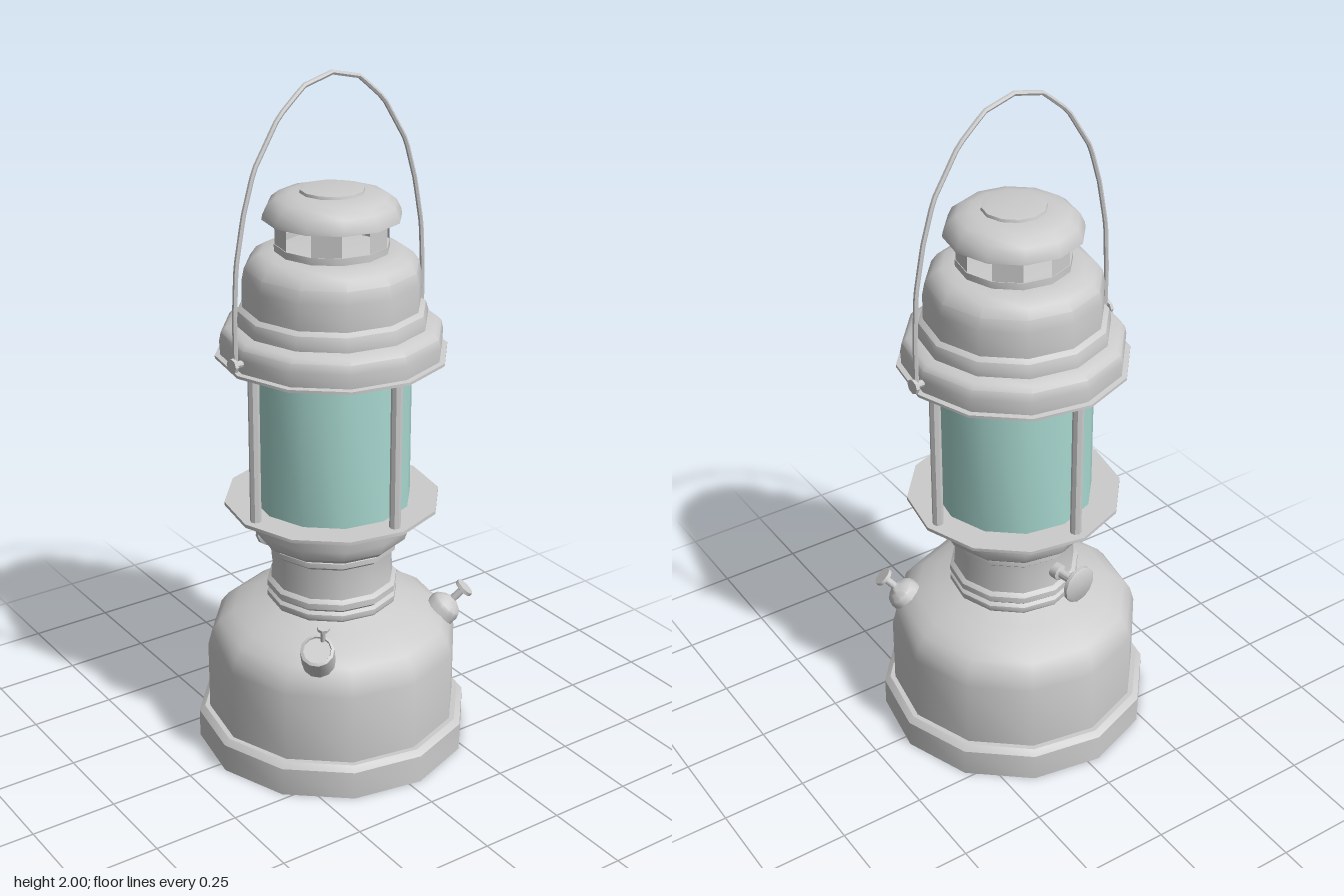
import * as THREE from 'three';
import { toCreasedNormals } from 'three/addons/utils/BufferGeometryUtils.js';

const metal = new THREE.MeshStandardMaterial({ color: 0xcccccc, side: THREE.DoubleSide });
const glass = new THREE.MeshStandardMaterial({ color: 0xa8d8d0, side: THREE.DoubleSide });
const SIDES = 12;

function add(parent, name, geometry, material = metal) {
  const mesh = new THREE.Mesh(toCreasedNormals(geometry, 0.62), material);
  mesh.name = name;
  parent.add(mesh);
  return mesh;
}

// Turned part from [radius, height] pairs, listed bottom to top
function turned(parent, name, profile, sides = SIDES, material = metal) {
  const points = profile.map(([r, y]) => new THREE.Vector2(r, y));
  return add(parent, name, new THREE.LatheGeometry(points, sides), material);
}

// Group at a point whose local y axis follows a direction
function aimed(parent, name, position, direction) {
  const group = new THREE.Group();
  group.name = name;
  group.position.set(...position);
  group.quaternion.setFromUnitVectors(
    new THREE.Vector3(0, 1, 0), new THREE.Vector3(...direction).normalize());
  parent.add(group);
  return group;
}

export function createModel() {
  const model = new THREE.Group();
  model.name = 'lantern';

  // Everything on the main axis shares a slight turn
  const body = new THREE.Group();
  body.name = 'lanternBody';
  body.rotation.y = 0.085;
  model.add(body);

  turned(body, 'fuelTank', [
    [0, 0], [0.402, 0], [0.402, 0.085], [0.385, 0.1], [0.37, 0.1], [0.37, 0.31],
    [0.358, 0.355], [0.335, 0.385], [0.295, 0.412], [0.24, 0.435], [0.185, 0.455],
  ]);

  turned(body, 'neck', [
    [0.185, 0.45], [0.192, 0.46], [0.192, 0.475], [0.182, 0.483], [0.192, 0.492],
    [0.192, 0.51], [0.18, 0.52], [0.176, 0.57], [0.18, 0.615], [0.192, 0.625],
    [0.192, 0.64], [0.184, 0.645],
  ]);

  turned(body, 'burnerCup', [
    [0.184, 0.645], [0.205, 0.65], [0.222, 0.665], [0.232, 0.695], [0.235, 0.765],
  ]);

  turned(body, 'lowerPlate', [
    [0, 0.76], [0.312, 0.76], [0.312, 0.77], [0, 0.77],
  ]);

  turned(body, 'glassChimney', [[0.228, 0.77], [0.228, 1.212]], SIDES, glass);

  // Four guard rods around the glass
  for (let i = 0; i < 4; i++) {
    const a = (i * Math.PI) / 2;
    const rod = add(body, 'guardRod', new THREE.CylinderGeometry(0.016, 0.016, 0.45, 8));
    rod.position.set(Math.sin(a) * 0.275, 0.99, Math.cos(a) * 0.275);
  }

  turned(body, 'hood', [
    [0, 1.21], [0.328, 1.21], [0.328, 1.218], [0.313, 1.22], [0.315, 1.26],
    [0.31, 1.285], [0.297, 1.298], [0.27, 1.305], [0.27, 1.325], [0.264, 1.345],
    [0.25, 1.355], [0.25, 1.43], [0.243, 1.465], [0.225, 1.49], [0.198, 1.506],
    [0.16, 1.51], [0, 1.512],
  ]);

  // Vent: solid ring below, alternating panels and openings above
  turned(body, 'ventRing', [[0.16, 1.508], [0.16, 1.53], [0.15, 1.53], [0.15, 1.508]]);
  for (let i = 0; i < 6; i++) {
    const panel = new THREE.CylinderGeometry(
      0.158, 0.158, 0.085, 1, 1, true, (i * Math.PI) / 3, Math.PI / 6);
    add(body, 'ventPanel', panel).position.y = 1.565;
  }

  turned(body, 'topCap', [
    [0, 1.6], [0.193, 1.6], [0.19, 1.615], [0.178, 1.64], [0.155, 1.658],
    [0.12, 1.668], [0.09, 1.67], [0.088, 1.678], [0.075, 1.68], [0, 1.68],
  ]);

  // Wire handle and its pivots
  const half = [[0.333, 1.25], [0.333, 1.38], [0.325, 1.52], [0.298, 1.655],
    [0.262, 1.77], [0.18, 1.897], [0.095, 1.968]];
  const arch = [...half, [0, 1.991], ...half.map(([x, y]) => [-x, y]).reverse()];
  const wire = new THREE.CurvePath();
  for (let i = 1; i < arch.length; i++) {
    wire.add(new THREE.LineCurve3(
      new THREE.Vector3(...arch[i - 1], 0), new THREE.Vector3(...arch[i], 0)));
  }
  add(body, 'handle', new THREE.TubeGeometry(wire, 56, 0.007, 6));
  for (const side of [-1, 1]) {
    const pivot = aimed(body, 'handlePivot', [side * 0.305, 1.25, 0], [side, 0, 0]);
    turned(pivot, 'pivotPin', [
      [0.01, 0], [0.01, 0.03], [0.021, 0.032], [0.021, 0.042], [0, 0.044],
    ], 8);
  }

  // Filler cap with its small air screw
  const filler = aimed(model, 'fillerCap', [-0.2, 0.38, 0.228], [-0.042, 0.088, 0.052]);
  turned(filler, 'fillerBody', [
    [0.04, -0.03], [0.04, 0.025], [0.048, 0.028], [0.048, 0.108], [0.04, 0.112],
    [0.038, 0.106], [0, 0.106],
  ], 12);
  const screw = aimed(model, 'airScrew', [-0.212, 0.465, 0.262], [-0.005, 0.06, 0.012]);
  turned(screw, 'screwPin', [
    [0.007, 0], [0.007, 0.055], [0.018, 0.058], [0.018, 0.067], [0, 0.067],
  ], 8);

  // Pump with a flat knob
  const pump = aimed(model, 'pump', [0.27, 0.372, 0.163], [0.062, 0.08, 0.04]);
  turned(pump, 'pumpBody', [
    [0.05, -0.02], [0.05, 0.03], [0.046, 0.042], [0.032, 0.054], [0.02, 0.06],
    [0.011, 0.066], [0.011, 0.1], [0.029, 0.106], [0.029, 0.117], [0, 0.117],
  ], 12);

  // Control valve at the back
  const valve = aimed(model, 'controlValve', [-0.027, 0.568, -0.165], [-0.18, 0, -1]);
  turned(valve, 'valveStem', [
    [0.024, 0], [0.024, 0.03], [0.014, 0.034], [0.014, 0.082], [0.022, 0.088],
    [0.05, 0.092], [0.056, 0.097], [0.056, 0.107], [0.05, 0.111], [0, 0.111],
  ], 12);

  return model;
}
